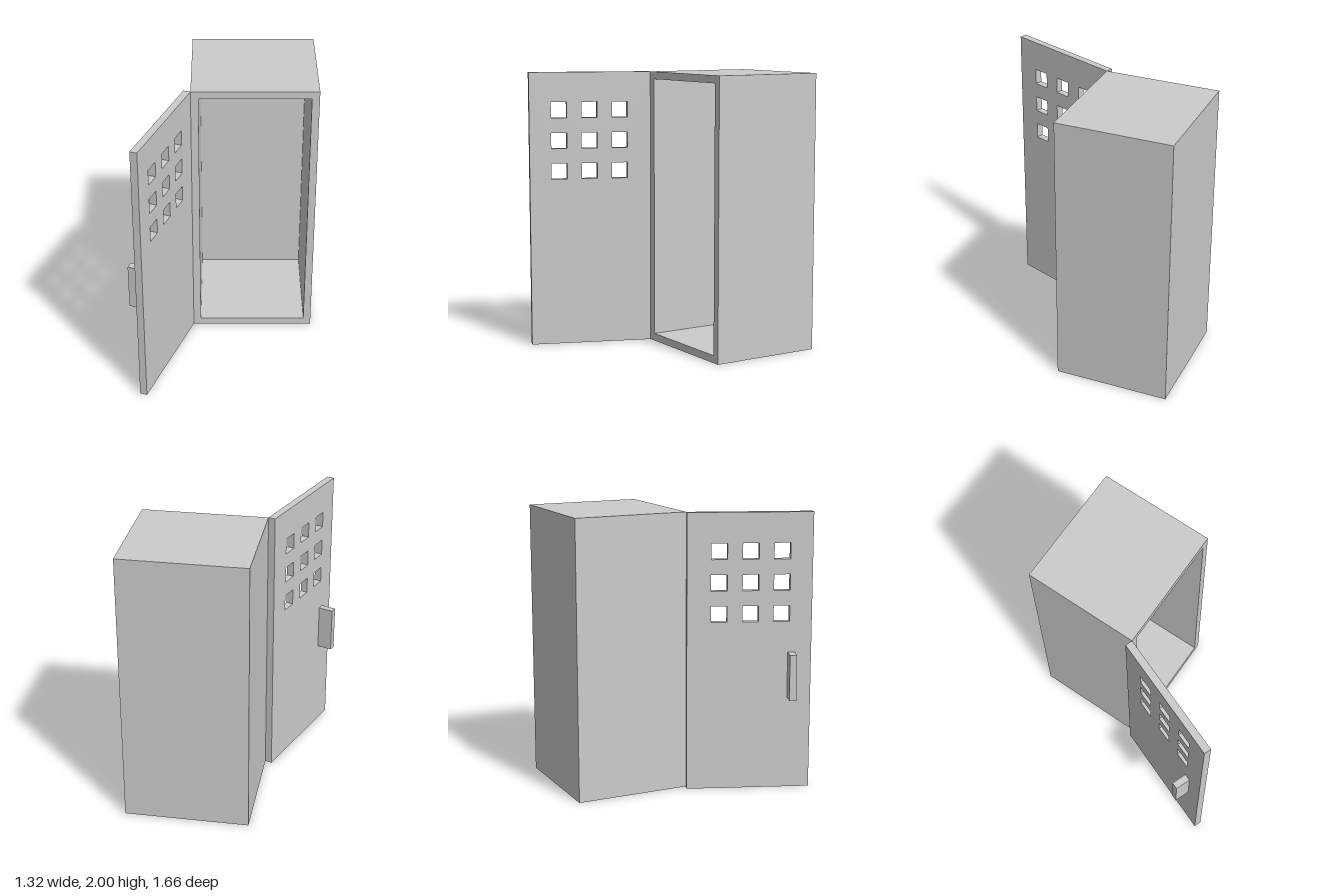
import * as THREE from 'three';

const material = new THREE.MeshStandardMaterial({ color: 0xcccccc, flatShading: true });

// Traces a rectangle given by its corners
function rectangle(path, x0, y0, x1, y1) {
  path.moveTo(x0, y0);
  path.lineTo(x1, y0);
  path.lineTo(x1, y1);
  path.lineTo(x0, y1);
  path.closePath();
  return path;
}

// Flat panel with rectangular openings, extruded along +z
function panel(name, outline, openings, depth) {
  const shape = rectangle(new THREE.Shape(), ...outline);
  for (const o of openings) shape.holes.push(rectangle(new THREE.Path(), ...o));
  const mesh = new THREE.Mesh(new THREE.ExtrudeGeometry(shape, { depth, bevelEnabled: false }), material);
  mesh.name = name;
  return mesh;
}

function box(name, w, h, d, x, y, z) {
  const mesh = new THREE.Mesh(new THREE.BoxGeometry(w, h, d), material);
  mesh.name = name;
  mesh.position.set(x, y, z);
  return mesh;
}

export function createModel() {
  const model = new THREE.Group();
  model.name = 'locker';

  const left = -0.23, right = 0.66, height = 2, depth = 0.83, wall = 0.054;

  // Cabinet: four walls around an open front, closed by a back panel
  const cabinet = new THREE.Group();
  cabinet.name = 'cabinet';
  const walls = panel('cabinetWalls', [left, 0, right, height],
    [[left + wall, wall, right - wall, height - wall]], depth - wall);
  walls.position.z = -depth + wall;
  cabinet.add(walls, box('backPanel', right - left, height, wall,
    (left + right) / 2, height / 2, -depth + wall / 2));
  model.add(cabinet);

  // Door: swings on the cabinet's front corner, local +z is its outer face
  const door = new THREE.Group();
  door.name = 'door';
  const thickness = 0.052;
  const vents = [];
  for (const x of [0.17, 0.393, 0.615]) {
    for (const y of [1.224, 1.447, 1.67]) vents.push([x, y, x + 0.115, y + 0.114]);
  }
  door.add(panel('doorPanel', [0, 0, 0.888, height], vents, thickness));
  door.add(box('doorHandle', 0.05, 0.33, 0.11, 0.745, 0.835, thickness + 0.055));
  door.position.x = left;
  door.rotation.y = -1.94;
  model.add(door);

  return model;
}
